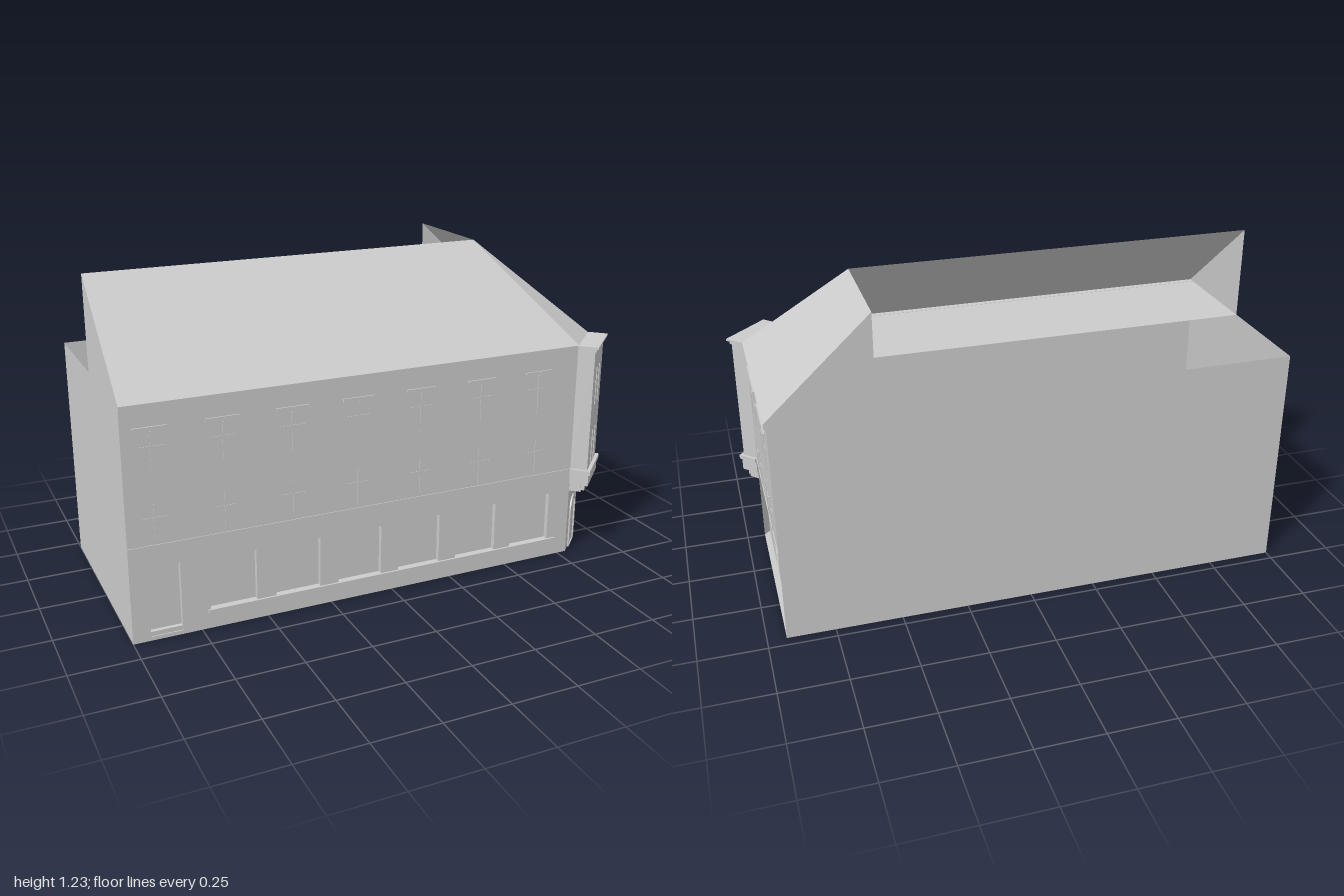
import * as THREE from 'three';

const stone = new THREE.MeshStandardMaterial({ color: 0xcccccc, side: THREE.DoubleSide });
stone.name = 'paleStone';

// Main dimensions
const L = -1, R = 0.93, F = 0.395, B = -0.46; // wall planes
const CX = 0.79, CZ = 0.255;                  // ends of the cut corner
const FLOOR1 = 0.36, EAVES = 0.87, RIDGE = 1.225;
const RX = 0.56, RZ = -0.03;                  // ridge corner
const RECESS = 0.02;

function add(parent, geometry, name) {
  const mesh = new THREE.Mesh(geometry, stone);
  mesh.name = name;
  parent.add(mesh);
  return mesh;
}

// Box given by its limits
function box(parent, name, x0, x1, y0, y1, z0, z1) {
  const mesh = add(parent, new THREE.BoxGeometry(x1 - x0, y1 - y0, z1 - z0), name);
  mesh.position.set((x0 + x1) / 2, (y0 + y1) / 2, (z0 + z1) / 2);
  return mesh;
}

// Flat convex polygon through the given corners
function face(parent, name, ...corners) {
  const pts = [];
  for (let i = 1; i < corners.length - 1; i++) pts.push(...corners[0], ...corners[i], ...corners[i + 1]);
  const g = new THREE.BufferGeometry();
  g.setAttribute('position', new THREE.Float32BufferAttribute(pts, 3));
  g.computeVertexNormals();
  return add(parent, g, name);
}

function outline(points) {
  return new THREE.Shape(points.map(([x, y]) => new THREE.Vector2(x, y)));
}

// Horizontal slab drawn in x, z
function level(parent, name, y, points) {
  const g = new THREE.ShapeGeometry(outline(points));
  g.rotateX(Math.PI / 2);
  add(parent, g, name).position.y = y;
}

function arch(r, springY) {
  const s = new THREE.Shape();
  s.moveTo(-r, 0);
  s.lineTo(r, 0);
  s.lineTo(r, springY);
  s.absarc(0, springY, r, 0, Math.PI, false);
  s.lineTo(-r, 0);
  return s;
}

// Flush sash window: thin mullion and glazing bar, drawn facing +z
function sash(parent, x, y0, y1, z, w) {
  const g = new THREE.Group();
  g.name = 'sashWindow';
  box(g, 'mullion', x - 0.003, x + 0.003, y0, y1, z - 0.004, z + 0.003);
  const m = y0 + (y1 - y0) * 0.65;
  box(g, 'glazingBar', x - w / 2, x + w / 2, m - 0.002, m + 0.002, z - 0.004, z + 0.002);
  parent.add(g);
}

function buildWalls(root) {
  // Front wall with recessed shop windows and a doorway
  const openings = [[-0.935, -0.82, 0.015, 0.28]];
  for (let i = 0; i < 6; i++) {
    const x = -0.715 + i * 0.247;
    openings.push([x, x + 0.175, 0.075, 0.27]);
  }
  const wall = outline([[L, 0], [CX, 0], [CX, EAVES], [L, EAVES]]);
  for (const [x0, x1, y0, y1] of openings) {
    wall.holes.push(new THREE.Path([[x0, y0], [x0, y1], [x1, y1], [x1, y0]].map(p => new THREE.Vector2(...p))));
    face(root, 'shopPane', [x0, y0, F - RECESS], [x1, y0, F - RECESS], [x1, y1, F - RECESS], [x0, y1, F - RECESS]);
  }
  const front = new THREE.ExtrudeGeometry(wall, { depth: RECESS, bevelEnabled: false });
  add(root, front, 'frontWall').position.z = F - RECESS;
  box(root, 'doorStep', -0.935, -0.82, 0.015, 0.032, F - RECESS, F - 0.004);
  box(root, 'shopSill', -0.725, 0.73, 0.062, 0.075, F - 0.01, F + 0.008);

  // Other walls
  face(root, 'cornerWall', [CX, 0, F], [R, 0, CZ], [R, EAVES, CZ], [CX, EAVES, F]);
  face(root, 'rightUpperWall', [R, FLOOR1, CZ], [R, FLOOR1, B], [R, EAVES, B], [R, EAVES, CZ]);
  face(root, 'backWall', [R, 0, B], [L, 0, B], [L, EAVES, B], [R, EAVES, B]);
  face(root, 'leftWall', [L, 0, B], [L, 0, F], [L, EAVES, F], [L, EAVES, B]);
  level(root, 'groundFloor', 0, [[L, B], [R, B], [R, CZ], [CX, F], [L, F]]);

  // Shop panes standing in the open right side
  for (const [z0, z1] of [[-0.03, 0.21], [-0.35, -0.085]]) {
    const x = R - RECESS;
    face(root, 'sideShopPane', [x, 0.03, z1], [x, 0.03, z0], [x, 0.265, z0], [x, 0.265, z1]);
  }
}

function buildTrim(root) {
  // Cornice and string course on both streets
  box(root, 'frontCornice', L, CX, 0.852, EAVES, F, F + 0.005);
  box(root, 'sideCornice', R, R + 0.008, 0.852, EAVES, B, CZ);
  box(root, 'frontStringCourse', L, CX, 0.354, 0.362, F, F + 0.003);
  box(root, 'sideStringCourse', R - 0.002, R + 0.003, 0.356, 0.364, B, CZ);

  // Front windows in two rows of seven
  for (let i = 0; i < 7; i++) {
    const x = -0.9 + i * 0.253;
    sash(root, x, 0.62, 0.77, F, 0.09);
    sash(root, x, 0.37, 0.51, F, 0.09);
    box(root, 'lintel', x - 0.06, x + 0.06, 0.775, 0.788, F, F + 0.005);
  }

  // Side windows in pairs, each pair under one lintel
  const side = new THREE.Group();
  side.name = 'sideWindows';
  side.rotation.y = Math.PI / 2; // local x runs towards -z
  for (const c of [-0.09, 0.25]) {
    for (const d of [-0.06, 0.06]) {
      sash(side, c + d, 0.62, 0.77, R, 0.08);
      sash(side, c + d, 0.37, 0.51, R, 0.08);
    }
    box(side, 'sideLintel', c - 0.12, c + 0.12, 0.775, 0.79, R, R + 0.006);
  }
  root.add(side);
}

function buildCorner(root) {
  const bay = new THREE.Group();
  bay.name = 'cornerBay';
  bay.position.set((CX + R) / 2, 0, (F + CZ) / 2);
  bay.rotation.y = Math.PI / 4;
  const w = (R - CX) / Math.SQRT2;
  box(bay, 'bayBody', -w, w, 0.362, 0.85, 0, 0.066);
  box(bay, 'bayBase', -w - 0.005, w + 0.005, 0.297, 0.345, 0, 0.073);
  box(bay, 'bayBand', -w - 0.011, w + 0.011, 0.345, 0.362, 0, 0.08);
  box(bay, 'bayFrieze', -w - 0.005, w + 0.005, 0.85, 0.863, 0, 0.072);
  box(bay, 'bayCornice', -w - 0.014, w + 0.014, 0.863, EAVES + 0.001, 0, 0.08);

  for (const s of [-1, 1]) {
    box(bay, 'corbel', s * 0.072 - 0.024, s * 0.072 + 0.024, 0.266, 0.297, 0, 0.045);
    box(bay, 'corbelBlock', s * 0.072 - 0.018, s * 0.072 + 0.018, 0.272, 0.297, 0.045, 0.058);
    sash(bay, s * 0.03, 0.62, 0.77, 0.066, 0.05);
    sash(bay, s * 0.03, 0.37, 0.51, 0.066, 0.05);
  }

  // Arched doorway
  const frame = arch(0.053, 0.158);
  frame.holes.push(arch(0.044, 0.158));
  add(bay, new THREE.ExtrudeGeometry(frame, { depth: 0.006, bevelEnabled: false }), 'doorFrame');
  add(bay, new THREE.ShapeGeometry(arch(0.044, 0.158)), 'door').position.z = 0.001;
  root.add(bay);
}

function buildRoof(root) {
  const rx = 0.94, rz = 0.4, cz = 0.25;
  const peak = [RX, RIDGE, RZ], end = [L, RIDGE, RZ], back = [RX, RIDGE, B];
  const c1 = [CX, EAVES, rz], c2 = [rx, EAVES, cz];
  face(root, 'frontRoof', [L, EAVES, rz], c1, peak, end);
  face(root, 'cornerRoof', c1, c2, peak);
  face(root, 'sideRoof', c2, [rx, EAVES, B], back, peak);

  // Half gables at both ends and the attic floor; the rear court stays open
  face(root, 'leftGable', [L, EAVES, RZ], [L, EAVES, rz], end);
  face(root, 'backGable', [rx, EAVES, B], [RX, EAVES, B], back);
  level(root, 'atticFloor', EAVES - 0.001, [[L, RZ], [RX, RZ], [RX, B], [rx, B], [rx, cz], [CX, rz], [L, rz]]);
}

export function createModel() {
  const root = new THREE.Group();
  root.name = 'cornerBuilding';
  buildWalls(root);
  buildTrim(root);
  buildCorner(root);
  buildRoof(root);
  return root;
}
